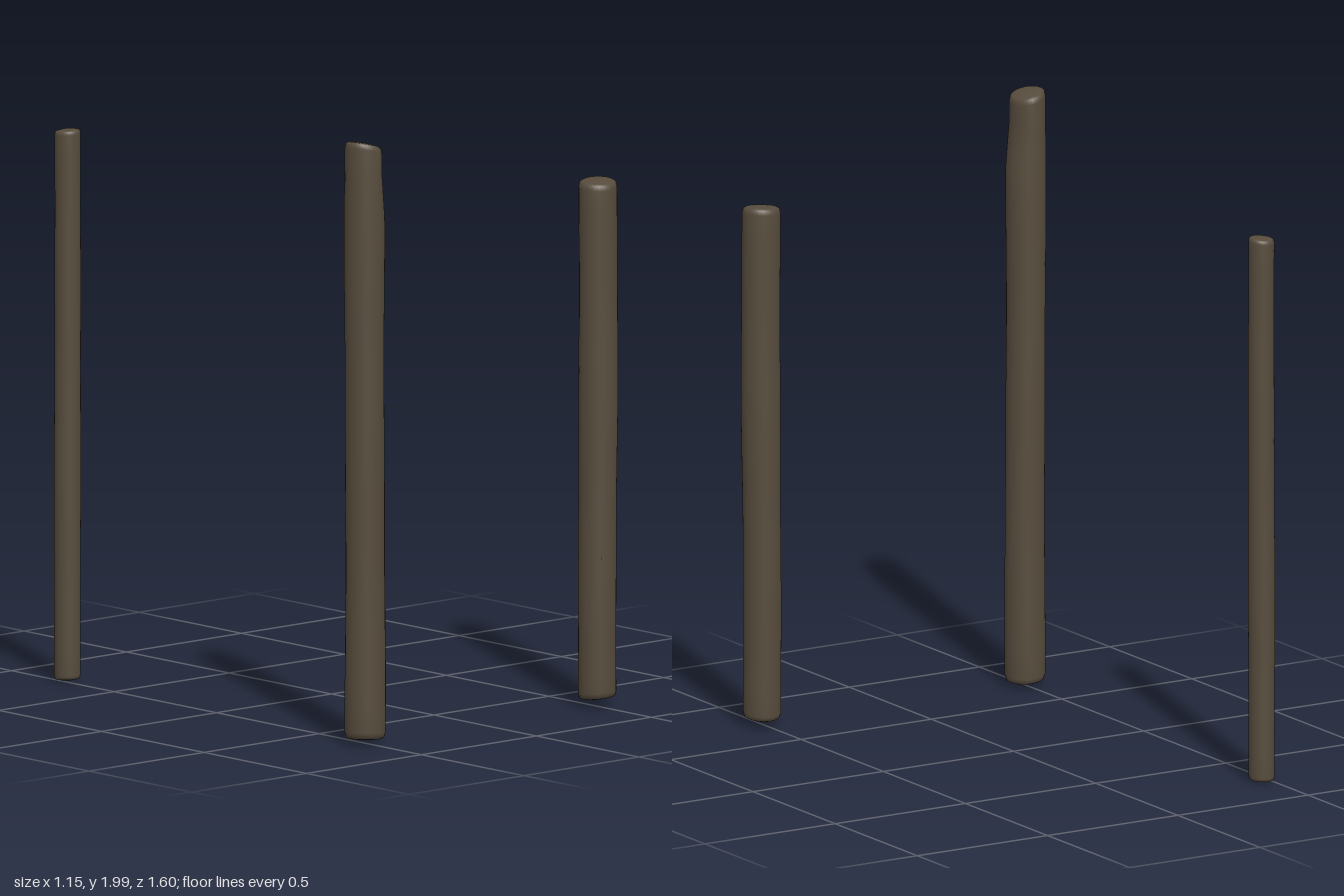
import * as THREE from 'three';
import { mergeVertices } from 'three/addons/utils/BufferGeometryUtils.js';

const wood = new THREE.MeshStandardMaterial({ color: 0x574c3d });
wood.name = 'dark weathered wood';

// A rough upright post: rounded lathe with tilted ends, a slight bow and an optional worn +x side at the top
function post({ name, x, z, r, bottom, top, topTilt = [0, 0], baseTilt = [0, 0], bow = 0, worn = 0, seed = 0 }) {
  const h = top - bottom;
  const bevel = r * 0.3;
  const points = [[0, 0], [r * 0.45, 0], [r * 0.78, 0.003], [r * 0.93, bevel * 0.4], [r, bevel * 1.2]];
  const rows = 24;
  for (let i = 1; i < rows; i++) points.push([r, bevel * 1.2 + (h - bevel * 2.4) * i / rows]);
  points.push([r, h - bevel * 1.2], [r * 0.94, h - bevel * 0.4], [r * 0.8, h - 0.003], [r * 0.45, h], [0, h]);

  let g = new THREE.LatheGeometry(points.map(p => new THREE.Vector2(...p)), 28);
  g.deleteAttribute('uv');
  g.deleteAttribute('normal');
  g = mergeVertices(g, 1e-5);

  const p = g.attributes.position;
  for (let i = 0; i < p.count; i++) {
    let px = p.getX(i), py = p.getY(i), pz = p.getZ(i);
    const t = py / h;
    const u = px / r, v = pz / r;
    // Uneven thickness along and around the trunk
    const a = Math.atan2(pz, px);
    const k = 1 + 0.018 * Math.sin(2 * a + t * 7 + seed) + 0.012 * Math.sin(t * 17 + seed * 2);
    px *= k;
    pz *= k;
    // Slanted cut ends
    const upper = THREE.MathUtils.smoothstep(t, 0.94, 0.985);
    const lower = 1 - THREE.MathUtils.smoothstep(t, 0.015, 0.06);
    py += upper * (topTilt[0] * u + topTilt[1] * v) + lower * (baseTilt[0] * u + baseTilt[1] * v);
    // Worn shoulder on the +x side
    if (worn && u > 0) px -= worn * u * THREE.MathUtils.smoothstep(t, 0.87, 0.95);
    px += bow * Math.sin((t - 0.45) * Math.PI * 1.8);
    p.setXYZ(i, px, py, pz);
  }
  g.computeVertexNormals();

  const mesh = new THREE.Mesh(g, wood);
  mesh.name = name;
  mesh.position.set(x, bottom, z);
  return mesh;
}

export function createModel() {
  const model = new THREE.Group();
  model.name = 'threePosts';
  model.add(
    post({ name: 'tallFrontRightPost', x: -0.507, z: 0.732, r: 0.065, bottom: 0.015, top: 1.985,
      topTilt: [-0.016, 0.002], baseTilt: [-0.006, 0.006], worn: 0.018, bow: -0.002 }),
    post({ name: 'frontLeftPost', x: 0.506, z: 0.732, r: 0.063, bottom: 0.025, top: 1.74,
      topTilt: [0.004, -0.004], baseTilt: [0, 0.007], bow: 0.003, seed: 2 }),
    post({ name: 'thinBackRightPost', x: -0.476, z: -0.754, r: 0.043, bottom: 0.003, top: 1.822,
      topTilt: [0.002, 0.003], baseTilt: [0, 0.003], bow: 0.001, seed: 4 })
  );
  // Small dark knot hollow on the front left post
  const knot = new THREE.Mesh(new THREE.CircleGeometry(0.008, 10), new THREE.MeshStandardMaterial({ color: 0x1e1a15 }));
  knot.material.name = 'knot shadow';
  knot.name = 'knot';
  knot.scale.x = 0.5;
  knot.position.set(0.474, 0.5, 0.789);
  knot.rotation.y = -0.5;
  model.add(knot);
  return model;
}
